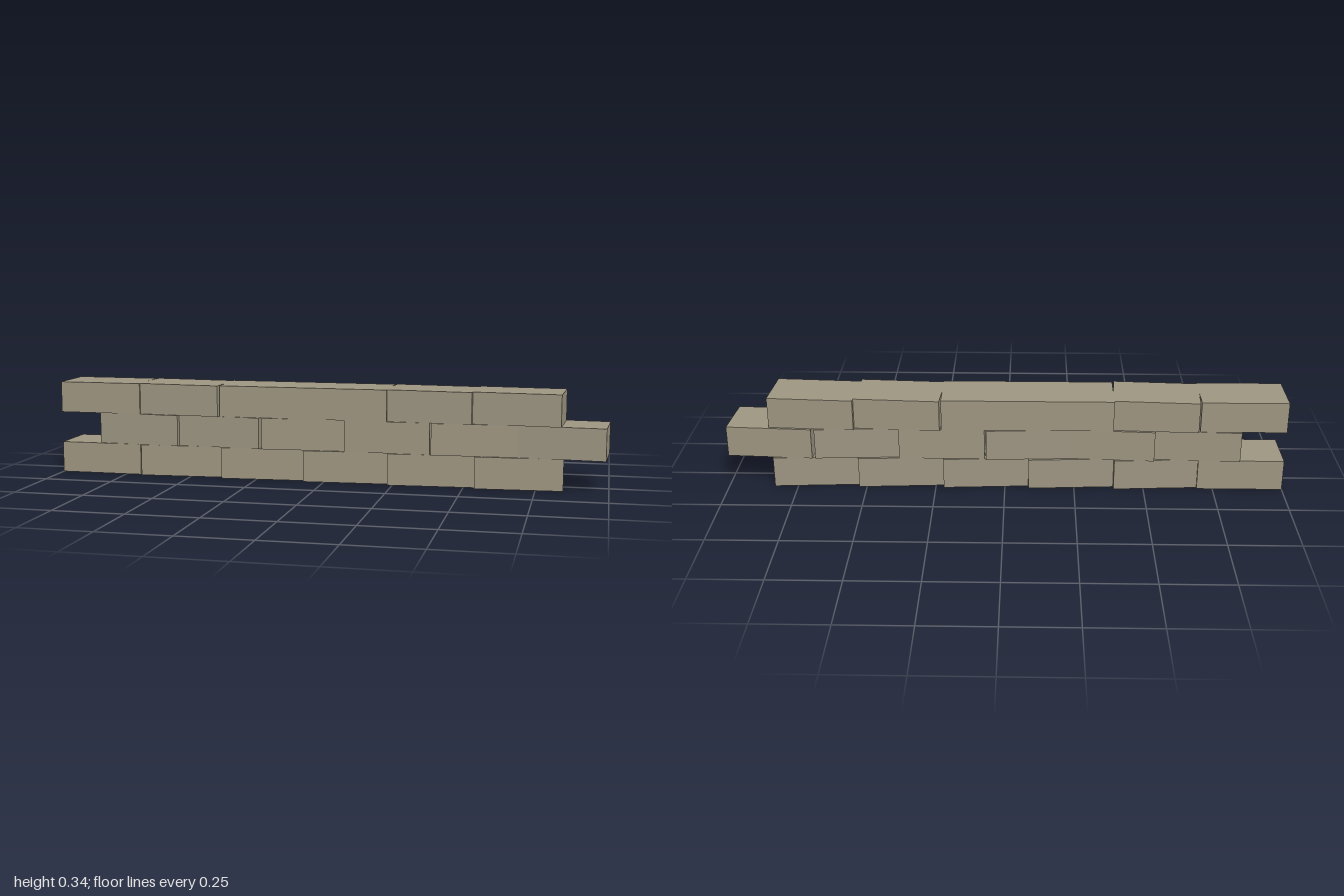
import * as THREE from 'three';

// Low wall of three staggered courses of slightly twisted stone blocks
const LENGTH = 0.3067, HEIGHT = 0.1127, DEPTH = 0.185;
const FIRST = -0.8467; // centre of the first block in an unshifted course
const TWIST = 0.06;

// Per course: sideways shift in block lengths, and twist of each block
// (+1 swings the +x end forward, -1 swings it back)
const COURSES = [
  { name: 'bottomCourse', shift: 0, twists: [0, -1, -1, -1, -1, -1] },
  { name: 'middleCourse', shift: 0.5, twists: [1, 1, -1, 0, -1, 1] },
  { name: 'topCourse', shift: 0, twists: [0, 1, 0, 0, 1, 1] },
];

export function createModel() {
  const wall = new THREE.Group();
  wall.name = 'stoneWall';
  const stone = new THREE.MeshStandardMaterial({ color: 0x9e9682 });
  const block = new THREE.BoxGeometry(LENGTH, HEIGHT, DEPTH);

  COURSES.forEach(({ name, shift, twists }, row) => {
    const course = new THREE.Group();
    course.name = name;
    course.position.y = (row + 0.5) * HEIGHT;
    twists.forEach((twist, i) => {
      const mesh = new THREE.Mesh(block, stone);
      mesh.name = `block${i + 1}`;
      mesh.position.x = FIRST + (i + shift) * LENGTH;
      mesh.rotation.y = -twist * TWIST;
      course.add(mesh);
    });
    wall.add(course);
  });
  return wall;
}
